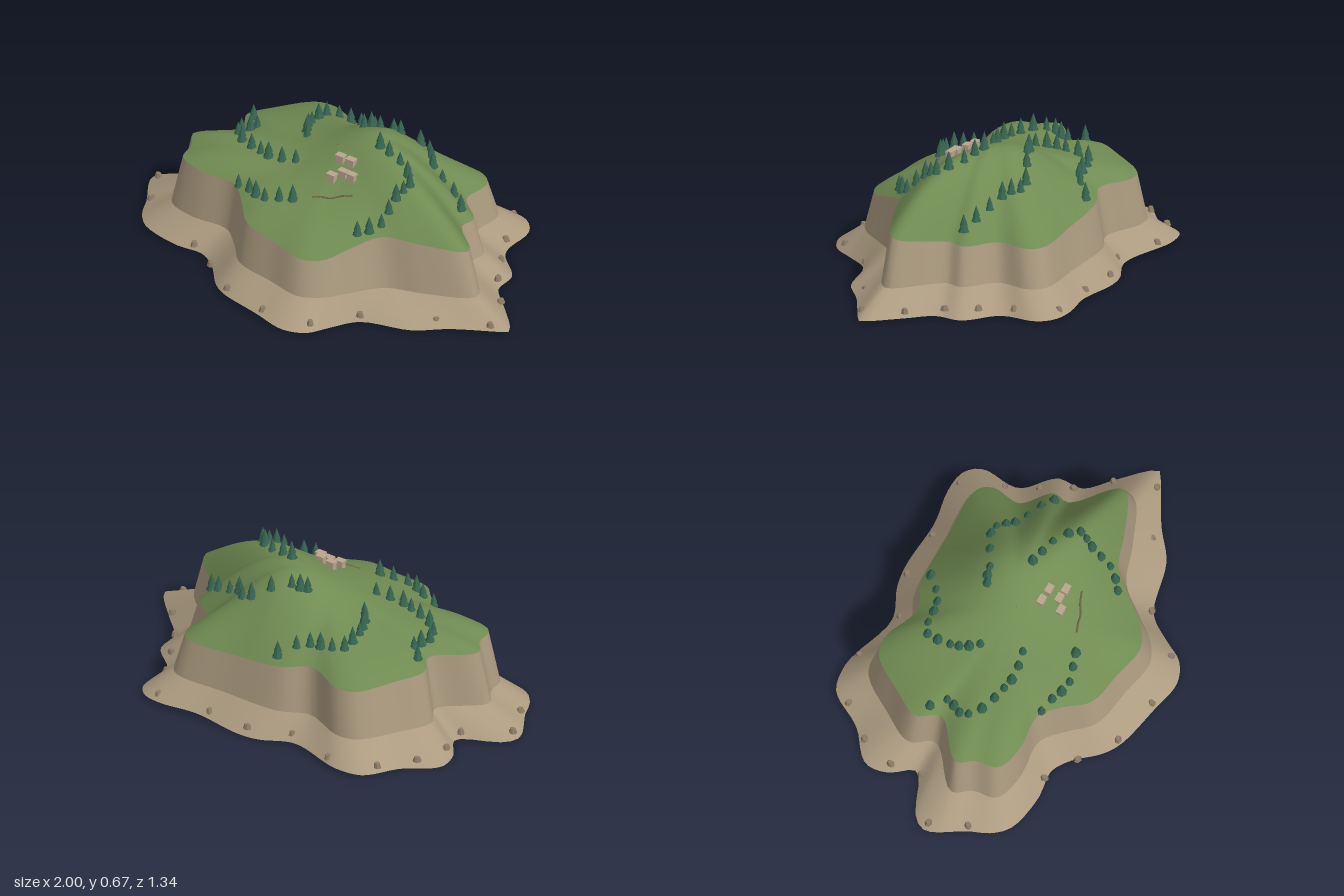
import * as THREE from 'three';

const mat = (name, color, side = THREE.FrontSide, flatShading = true) =>
  Object.assign(new THREE.MeshStandardMaterial({ color, side, flatShading }), { name });
const grass = mat('grass', 0x708b52, THREE.DoubleSide, false);
const rock = mat('rock', 0xac9b80, THREE.DoubleSide, false);
const boulderMat = mat('boulder', 0x8c7c66);
const needles = mat('needles', 0x36644f);
const wallMat = mat('house wall', 0xbba58d);
const pathMat = mat('path', 0x696045);

// Centre of the radial mesh and its number of spokes
const CX = -0.04, CZ = -0.045, N = 180;

// Closed smooth outline through a few points of x, z and height
const outline = (points) => new THREE.CatmullRomCurve3(
  points.map(([x, z, y = 0]) => new THREE.Vector3(x, y, z)), true, 'centripetal').getPoints(points.length * 5);

// Foot of the shore
const SHORE = outline([
  [1, .10], [.94, .14], [.77, .24], [.64, .34], [.40, .41], [.32, .52], [.26, .62], [.16, .665],
  [.01, .64], [-.21, .59], [-.29, .54], [-.39, .43], [-.48, .38], [-.61, .395], [-.80, .36], [-.87, .29],
  [-.91, .20], [-1, .03], [-.96, -.04], [-.77, -.14], [-.84, -.25], [-.85, -.36], [-.72, -.48],
  [-.62, -.64], [-.49, -.665], [-.42, -.65], [-.20, -.59], [-.05, -.65], [.06, -.665], [.29, -.65],
  [.45, -.675], [.56, -.66], [.62, -.59], [.62, -.41], [.75, -.28], [.76, -.16], [.87, -.05]]);
// Top edge of the cliff
const EDGE = outline([
  [.75, .06, .325], [.56, .17, .35], [.40, .23, .36], [.30, .35, .32], [.23, .44, .285], [.14, .49, .282],
  [-.02, .465, .295], [-.20, .43, .315], [-.29, .34, .34], [-.39, .26, .35], [-.56, .27, .355],
  [-.69, .23, .36], [-.71, .13, .36], [-.76, .05, .36], [-.60, -.11, .36], [-.655, -.21, .355],
  [-.585, -.35, .345], [-.48, -.50, .33], [-.39, -.52, .33], [-.21, -.455, .34], [-.08, -.51, .32],
  [.19, -.52, .295], [.43, -.52, .285], [.48, -.455, .285], [.47, -.32, .287], [.59, -.21, .285], [.58, -.13, .29]]);

// Radius and height where a spoke crosses an outline
function cross(line, angle) {
  const dx = Math.cos(angle), dz = Math.sin(angle);
  let r = 0, y = 0;
  for (let i = 0; i < line.length - 1; i++) {
    const p = line[i], q = line[i + 1];
    const a = (p.x - CX) * dz - (p.z - CZ) * dx, b = (q.x - CX) * dz - (q.z - CZ) * dx;
    if (a * b > 0 || a === b) continue;
    const t = a / (a - b);
    const d = (p.x + (q.x - p.x) * t - CX) * dx + (p.z + (q.z - p.z) * t - CZ) * dz;
    if (d > r) { r = d; y = p.y + (q.y - p.y) * t; }
  }
  return { r, y };
}

// Hill surface: a ridge running to +x that falls away to the cliff edge
function ground(x, z) {
  const e = cross(EDGE, Math.atan2(z - CZ, x - CX));
  const s = Math.min(1, Math.hypot(x - CX, z - CZ) / e.r);
  const dx = x - 0.15, dz = z + 0.15 - 0.4 * Math.max(0, x - 0.1);
  const top = 0.415 + 0.06 * Math.max(0, -x - 0.15)
    + 0.183 * Math.exp(-dx * dx / (dx > 0 ? 0.5 : 0.11) - dz * dz / 0.083);
  return e.y + (top - e.y) * (1 - s ** 3.4);
}

const ring = (fn) => Array.from({ length: N }, (_, i) => fn(i / N * Math.PI * 2));
const polar = (a, r, y) => [CX + Math.cos(a) * r, y, CZ + Math.sin(a) * r];

// Skin joining rings from the top one down
function skin(rings, material, name) {
  const index = [];
  for (let k = 0; k < rings.length - 1; k++) for (let i = 0; i < N; i++) {
    const j = (i + 1) % N, a = k * N, b = a + N;
    index.push(a + i, a + j, b + i, a + j, b + j, b + i);
  }
  const g = new THREE.BufferGeometry();
  g.setAttribute('position', new THREE.Float32BufferAttribute(rings.flat(2), 3));
  g.setIndex(index);
  g.computeVertexNormals();
  const m = new THREE.Mesh(g, material);
  m.name = name;
  return m;
}

const TREES = [
  [[-.01, -.21], [.02, -.225], [.06, -.235], [.14, -.28], [.22, -.32], [.27, -.32], [.30, -.29], [.33, -.26],
    [.40, -.235], [.48, -.21], [.54, -.18]],
  [[.17, -.08], [.23, -.065], [.30, -.05], [.37, -.01], [.41, .03], [.40, .065], [.385, .10], [.38, .15],
    [.375, .20], [.34, .245], [.30, .28]],
  [[-.04, -.48], [-.10, -.42], [-.15, -.385], [-.20, -.375], [-.26, -.37], [-.31, -.345], [-.315, -.29],
    [-.31, -.23], [-.30, -.19], [-.28, -.15], [-.25, -.11]],
  [[-.59, -.175], [-.53, -.12], [-.54, -.08], [-.56, -.04], [-.55, 0], [-.50, .04], [-.43, .065], [-.37, .08],
    [-.32, .09], [-.25, .085], [-.185, .07]],
  [[-.36, .265], [-.29, .28], [-.24, .30], [-.185, .31], [-.12, .29], [-.06, .27]]];
const BOULDERS = [
  [.92, .13], [.85, -.05], [.735, -.19], [.66, -.32], [.585, -.46], [.50, -.64], [.23, -.625], [.015, -.635],
  [-.18, -.56], [-.425, -.63], [-.645, -.56], [-.76, -.415], [-.805, -.255], [-.78, -.11], [-.965, .03],
  [-.89, .19], [-.525, .375], [-.375, .46], [-.205, .57], [.02, .615], [.255, .58], [.40, .40], [.70, .235]];
const HOUSES = [[.04, .04], [.10, .045], [.095, .10], [.145, .105], [.055, .13]];

export function createModel() {
  const model = new THREE.Group();
  const add = (parent, geometry, material, name, x, y, z) => {
    const m = new THREE.Mesh(geometry, material);
    m.name = name;
    m.position.set(x, y, z);
    parent.add(m);
    return m;
  };
  const group = (name) => {
    const g = new THREE.Group();
    g.name = name;
    model.add(g);
    return g;
  };

  // Grassy hill, cliff and sloping shore
  const hill = [];
  for (let k = 0; k <= 14; k++) hill.push(ring((a) => {
    const [x, , z] = polar(a, cross(EDGE, a).r * Math.max(0.002, k / 14), 0);
    return [x, ground(x, z), z];
  }));
  const cliffTop = ring((a) => { const e = cross(EDGE, a); return polar(a, e.r, e.y); });
  const cliffFoot = ring((a) => polar(a, cross(EDGE, a).r * 1.075, 0.11));
  const shoreFoot = ring((a) => polar(a, cross(SHORE, a).r, 0.008 + 0.008 * Math.sin(a * 5)));
  model.add(skin(hill, grass, 'grassyHill'));
  model.add(skin([cliffTop, cliffFoot], rock, 'cliff'));
  model.add(skin([cliffFoot, shoreFoot], rock, 'shoreSlope'));

  // Rows of conifers, each of two stacked cones
  const skirt = new THREE.ConeGeometry(0.025, 0.055, 7).translate(0, 0.0255, 0);
  const crown = new THREE.ConeGeometry(0.018, 0.055, 7).translate(0, 0.053, 0);
  TREES.forEach((row, r) => {
    const rowGroup = group('treeRow' + (r + 1));
    row.forEach(([x, z], i) => {
      const tree = new THREE.Group();
      tree.name = 'tree';
      add(tree, skirt, needles, 'lowerBranches', 0, 0, 0);
      add(tree, crown, needles, 'upperBranches', 0, 0, 0);
      tree.position.set(x, ground(x, z), z);
      tree.rotation.y = i * 1.3;
      tree.scale.setScalar(0.92 + 0.13 * Math.sin(i * 2.1 + r));
      rowGroup.add(tree);
    });
  });

  // Flat-topped boulders around the shore
  const boulders = group('boulders');
  const stone = new THREE.CylinderGeometry(0.013, 0.021, 0.022, 7).scale(1, 1, 0.8);
  BOULDERS.forEach(([x, z], i) => add(boulders, stone, boulderMat, 'boulder', x, 0.038, z).rotation.y = i * 0.9);

  // Hilltop houses with flat overhanging roofs
  const village = group('village');
  HOUSES.forEach(([x, z]) => {
    const y = ground(x, z);
    add(village, new THREE.BoxGeometry(0.036, 0.04, 0.026), wallMat, 'houseWalls', x, y + 0.008, z);
    add(village, new THREE.BoxGeometry(0.044, 0.01, 0.031), wallMat, 'houseRoof', x, y + 0.032, z);
  });

  // Footpath lying on the slope below the houses
  const points = [[.02, .23], [.06, .215], [.10, .205], [.14, .18], [.19, .16]]
    .map(([x, z]) => new THREE.Vector3(x, ground(x, z) - 0.001, z));
  add(model, new THREE.TubeGeometry(new THREE.CatmullRomCurve3(points), 16, 0.0055, 5), pathMat, 'footpath', 0, 0, 0);
  return model;
}
